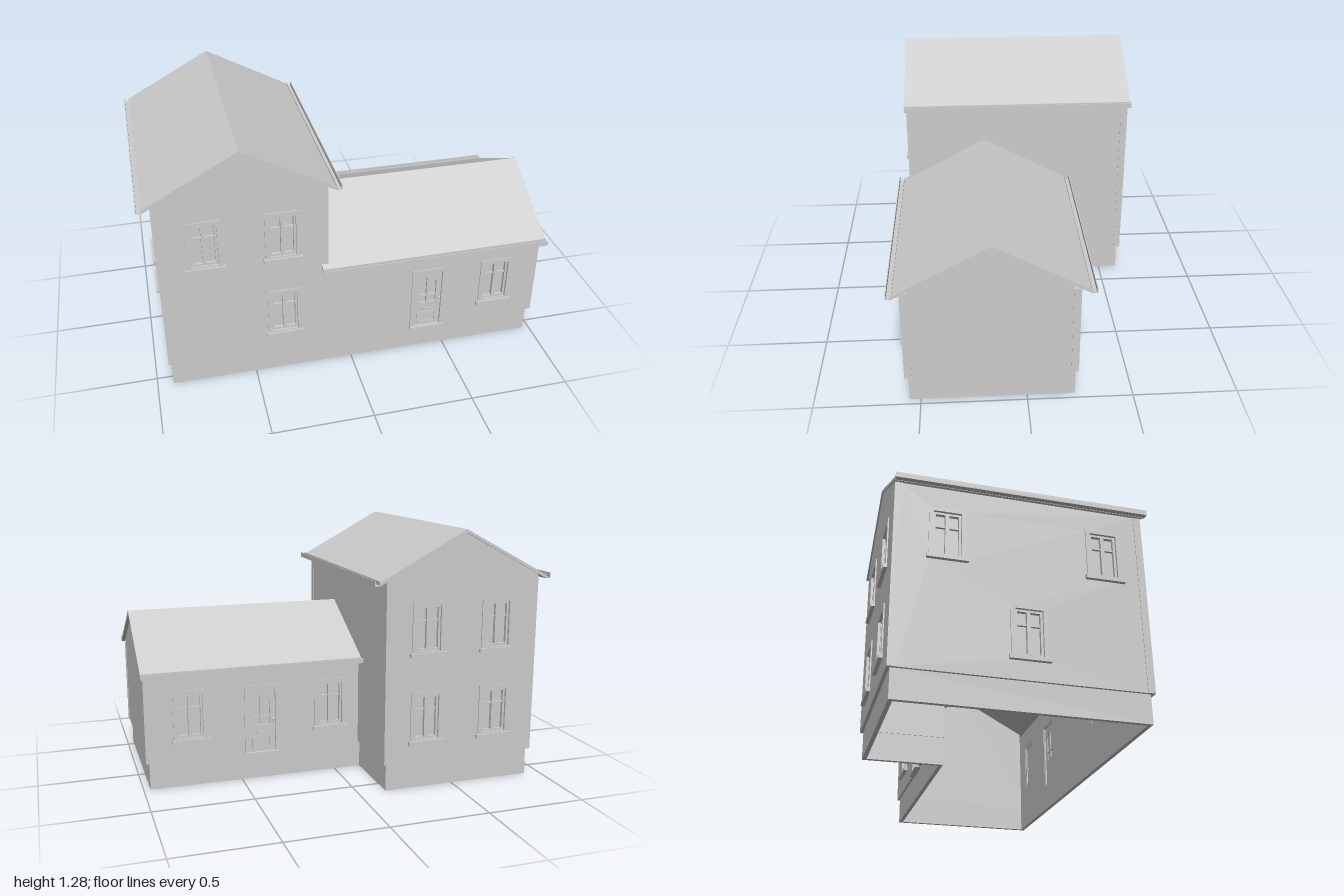
import * as THREE from 'three';

const material = new THREE.MeshStandardMaterial({ color: 0xcccccc, side: THREE.DoubleSide });
const FLOOR = 0.14, THICK = 0.035;

function add(parent, name, geometry, x = 0, y = 0, z = 0) {
  const mesh = new THREE.Mesh(geometry, material);
  mesh.name = name;
  mesh.position.set(x, y, z);
  parent.add(mesh);
  return mesh;
}

const box = (w, h, d) => new THREE.BoxGeometry(w, h, d);
const outline = pts => new THREE.Shape(pts.map(([x, y]) => new THREE.Vector2(x, y)));
const rect = (x0, y0, x1, y1) => outline([[x0, y0], [x1, y0], [x1, y1], [x0, y1]]);
const extrude = (shape, depth) =>
  new THREE.ExtrudeGeometry(shape, { depth, bevelEnabled: false, curveSegments: 8 });

// Rectangular frame, centred on x and standing on y = 0
function ring(w, h, border, depth) {
  const s = rect(-w / 2, 0, w / 2, h);
  s.holes.push(rect(-w / 2 + border, border, w / 2 - border, h - border));
  return extrude(s, depth);
}

// Window 0.17 x 0.265 with casement bars and sill; outer wall face is z = 0
function makeWindow() {
  const g = new THREE.Group();
  g.name = 'window';
  add(g, 'windowFrame', ring(0.17, 0.265, 0.021, 0.038), 0, 0, -0.032);
  add(g, 'windowSash', ring(0.128, 0.223, 0.011, 0.02), 0, 0.021, -0.026);
  add(g, 'windowMullion', box(0.018, 0.21, 0.02), 0, 0.132, -0.015);
  add(g, 'windowBar', box(0.11, 0.008, 0.014), 0, 0.172, -0.018);
  add(g, 'windowGlass', box(0.11, 0.205, 0.003), 0, 0.132, -0.024);
  add(g, 'windowSill', box(0.19, 0.02, 0.028), 0, 0.005, 0.004);
  return g;
}

// Door with arched glazing, lower panel, letter plate and knob
function makeDoor() {
  const g = new THREE.Group();
  g.name = 'door';
  const jamb = outline([[-0.088, 0], [-0.072, 0], [-0.072, 0.342], [0.072, 0.342],
    [0.072, 0], [0.088, 0], [0.088, 0.358], [-0.088, 0.358]]);
  add(g, 'doorFrame', extrude(jamb, 0.038), 0, 0, -0.032);
  const leaf = rect(-0.072, 0.004, 0.072, 0.342);
  for (const s of [-1, 1]) {
    leaf.holes.push(rect(s * 0.006, 0.145, s * 0.045, 0.185));
    const arch = new THREE.Path();
    arch.moveTo(s * 0.006, 0.195);
    arch.lineTo(s * 0.045, 0.195);
    arch.lineTo(s * 0.045, 0.26);
    arch.quadraticCurveTo(s * 0.043, 0.301, s * 0.006, 0.304);
    arch.closePath();
    leaf.holes.push(arch);
  }
  add(g, 'doorLeaf', extrude(leaf, 0.02), 0, 0, -0.025);
  add(g, 'doorGlass', box(0.1, 0.17, 0.004), 0, 0.225, -0.018);
  add(g, 'doorPanel', ring(0.1, 0.065, 0.008, 0.006), 0, 0.022, -0.007);
  add(g, 'letterPlate', box(0.04, 0.012, 0.006), 0, 0.105, -0.003);
  add(g, 'doorKnob', new THREE.SphereGeometry(0.008, 12, 8), 0.062, 0.172, 0.003);
  add(g, 'doorStep', box(0.18, 0.01, 0.03), 0, 0, 0.002);
  return g;
}

// Wall slab whose outer face lies at local z = 0, with openings cut and filled
function makeWall(name, pts, windows = [], doors = []) {
  const g = new THREE.Group();
  g.name = name;
  const shape = outline(pts);
  const place = (part, x, y) => { part.position.set(x, y, 0); g.add(part); };
  for (const [x, y] of windows) {
    shape.holes.push(rect(x - 0.078, y + 0.008, x + 0.078, y + 0.257));
    place(makeWindow(), x, y);
  }
  for (const x of doors) {
    shape.holes.push(rect(x - 0.08, FLOOR + 0.002, x + 0.08, FLOOR + 0.35));
    place(makeDoor(), x, FLOOR);
  }
  add(g, name + 'Slab', extrude(shape, THICK), 0, 0, -THICK);
  return g;
}

// Thin gable roof with a gutter along each eave, running along local z
function makeRoof(name, ridge, length) {
  const g = new THREE.Group();
  g.name = name;
  const half = 0.445, drop = 0.24, t = 0.017;
  const section = outline([[0, ridge], [-half, ridge - drop], [-half, ridge - drop - t],
    [0, ridge - t], [half, ridge - drop - t], [half, ridge - drop]]);
  add(g, name + 'Plates', extrude(section, length));
  const y = ridge - drop - 0.015;
  for (const s of [-1, 1]) {
    const a = s * (half - 0.004), b = s * (half + 0.024), w = s * 0.004;
    const channel = outline([[a, y], [b, y], [b, y + 0.026], [b - w, y + 0.026],
      [b - w, y + 0.004], [a + w, y + 0.004], [a + w, y + 0.024], [a, y + 0.024]]);
    add(g, name + 'Gutter', extrude(channel, length));
  }
  return g;
}

export function createModel() {
  const model = new THREE.Group();
  model.name = 'house';
  const put = (part, x, z, turn = 0) => {
    part.position.set(x, 0, z);
    part.rotation.y = turn;
    model.add(part);
  };
  const low = 0.235, high = 0.68, eave = 1.05, peak = 1.267, wingEave = 0.6;

  // L-shaped hollow plinth, open below
  const ell = (x0, x1, x2, f, m, b) => outline([[x0, -f], [x2, -f], [x2, -m], [x1, -m], [x1, -b], [x0, -b]]);
  const base = ell(-0.92, -0.14, 0.967, 0.553, -0.227, -0.6);
  base.holes.push(ell(-0.9, -0.16, 0.947, 0.533, -0.207, -0.58));
  add(model, 'plinth', extrude(base, FLOOR)).rotation.x = -Math.PI / 2;

  // Front wall shared by both blocks
  put(makeWall('frontWall',
    [[-0.935, FLOOR], [0.985, FLOOR], [0.985, wingEave], [-0.125, wingEave],
      [-0.125, eave], [-0.53, peak], [-0.935, eave]],
    [[-0.715, high], [-0.345, high], [-0.345, low], [0.76, low]], [0.397]), 0, 0.57);

  // Rear walls, with local x running opposite to world x
  put(makeWall('tallBlockBackWall',
    [[0.125, FLOOR], [0.935, FLOOR], [0.935, eave], [0.53, peak], [0.125, eave]],
    [[0.715, high], [0.345, high], [0.715, low], [0.345, low]]), 0, -0.615, Math.PI);
  put(makeWall('wingBackWall',
    [[-0.985, FLOOR], [0.125, FLOOR], [0.125, wingEave], [-0.985, wingEave]],
    [[-0.76, low], [-0.03, low]], [-0.397]), 0, -0.24, Math.PI);

  // Outer side wall of the tall block
  put(makeWall('tallBlockOuterWall',
    [[-0.58, FLOOR], [0.535, FLOOR], [0.535, eave], [-0.58, eave]],
    [[-0.37, high], [0.37, high], [0, low]]), -0.932, 0, -Math.PI / 2);

  // Inner side wall, left open where the wing joins
  put(makeWall('tallBlockInnerWall',
    [[0.205, FLOOR], [0.58, FLOOR], [0.58, eave], [-0.535, eave],
      [-0.535, wingEave], [0.205, wingEave]]), -0.128, 0, Math.PI / 2);

  // Wing gable
  put(makeWall('wingGableWall',
    [[-0.535, FLOOR], [0.205, FLOOR], [0.205, 0.625], [-0.16, 0.823], [-0.535, 0.62]]),
  0.982, 0, Math.PI / 2);

  // Roofs
  put(makeRoof('tallBlockRoof', 1.285, 1.198), -0.53, -0.622);
  put(makeRoof('wingRoof', 0.84, 1.157), -0.158, 0.16, Math.PI / 2);
  return model;
}
